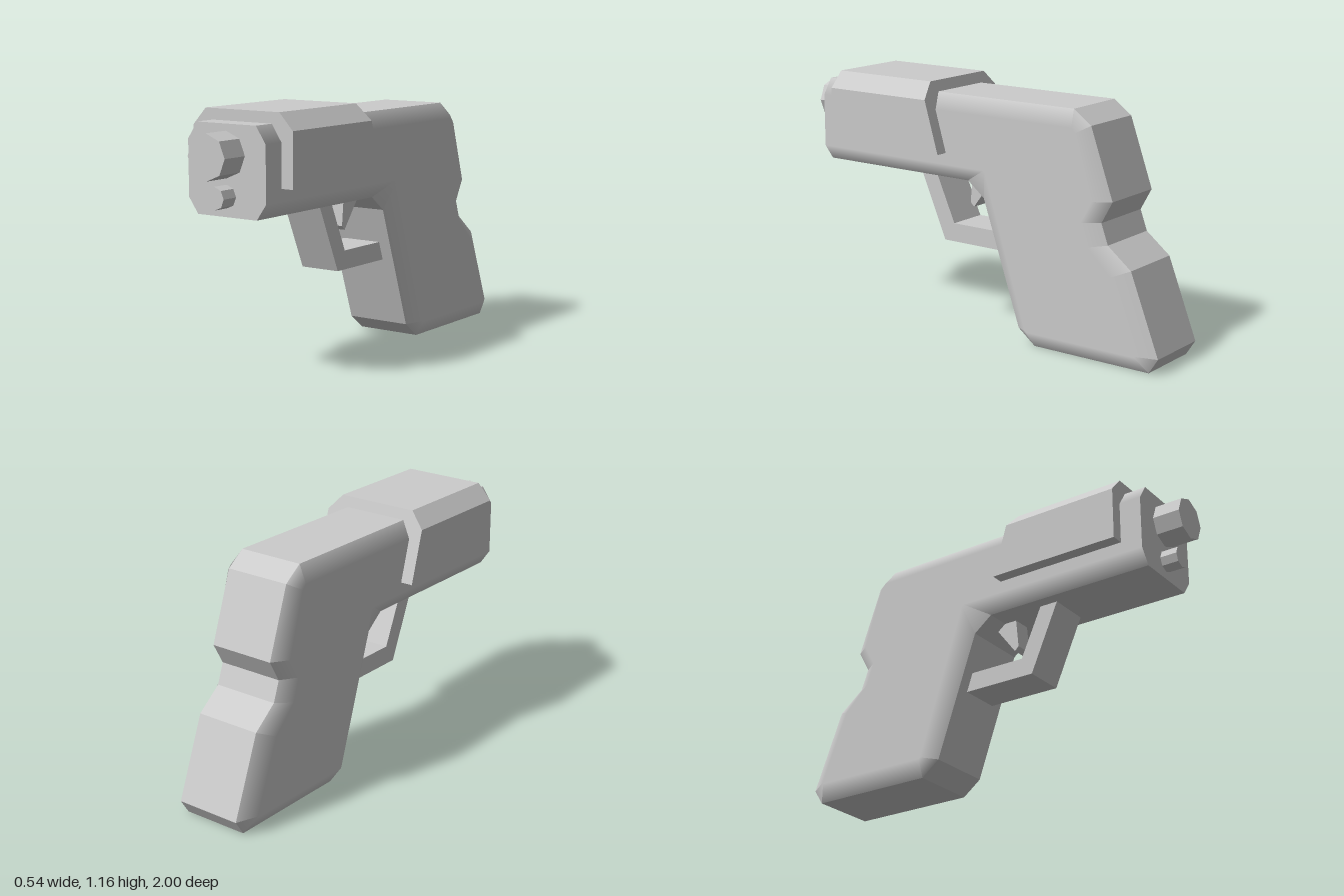
import * as THREE from 'three';

const material = new THREE.MeshStandardMaterial({ color: 0xcccccc, flatShading: true });
const smoothMaterial = new THREE.MeshStandardMaterial({ color: 0xcccccc });

function add(group, name, geometry, mat = material) {
  const mesh = new THREE.Mesh(geometry, mat);
  mesh.name = name;
  group.add(mesh);
  return mesh;
}

const toShape = (points) => new THREE.Shape(points.map(([a, b]) => new THREE.Vector2(a, b)));

// Side profile of [z, y] points, extruded symmetrically across x
function sidePlate(points, width) {
  return new THREE.ExtrudeGeometry(toShape(points), { depth: width, bevelEnabled: false })
    .translate(0, 0, -width / 2)
    .rotateY(-Math.PI / 2);
}

// Body skin: full outline in the middle, inset outline on both flanks, softly shaded bevel between
function bevelledBody(outer, inner, outerX, innerX) {
  const position = [], normal = [];
  const push = (v, n) => { position.push(v.x, v.y, v.z); normal.push(n.x, n.y, n.z); };
  const ring = (points, x) => points.map(([z, y]) => new THREE.Vector3(x, y, z));
  const rings = [ring(inner, -innerX), ring(outer, -outerX), ring(outer, outerX), ring(inner, innerX)];
  const count = outer.length;

  for (let r = 0; r < 3; r++) {
    for (let i = 0; i < count; i++) {
      const j = (i + 1) % count;
      const quad = [rings[r][i], rings[r + 1][i], rings[r + 1][j], rings[r][j]];
      const flat = quad[2].clone().sub(quad[0]).cross(quad[3].clone().sub(quad[1])).normalize();
      const muzzle = j === 0;
      const normals = quad.map((v) => (!muzzle && Math.abs(v.x) === innerX
        ? new THREE.Vector3(Math.sign(v.x), 0, 0) : flat));
      for (const k of [0, 1, 2, 0, 2, 3]) push(quad[k], normals[k]);
    }
  }
  // Flat flanks
  const faces = THREE.ShapeUtils.triangulateShape(inner.map(([z, y]) => new THREE.Vector2(z, y)), []);
  const left = new THREE.Vector3(1, 0, 0), right = new THREE.Vector3(-1, 0, 0);
  for (const [a, b, c] of faces) {
    for (const k of [a, b, c]) push(rings[0][k], right);
    for (const k of [a, c, b]) push(rings[3][k], left);
  }
  const geometry = new THREE.BufferGeometry();
  geometry.setAttribute('position', new THREE.Float32BufferAttribute(position, 3));
  geometry.setAttribute('normal', new THREE.Float32BufferAttribute(normal, 3));
  return geometry;
}

// Eight-sided rod pointing forward, one corner up
function rod(radius, y, z0, z1) {
  return new THREE.CylinderGeometry(radius, radius, z1 - z0, 8)
    .rotateX(Math.PI / 2)
    .translate(0, y, (z0 + z1) / 2);
}

export function createModel() {
  const group = new THREE.Group();
  group.name = 'pistol';

  // Frame and grip in one piece
  const outer = [
    [0.87, 1.115], [-0.55, 1.115], [-0.64, 1.05], [-0.755, 0.73], [-0.7, 0.63],
    [-0.735, 0.535], [-0.855, 0.44], [-1, 0.07], [-0.955, 0], [-0.35, 0],
    [-0.26, 0.07], [-0.06, 0.65], [0.03, 0.72], [0.87, 0.72],
  ];
  const inner = [
    [0.87, 1.04], [-0.57, 1.04], [-0.59, 1.02], [-0.68, 0.73], [-0.625, 0.63],
    [-0.66, 0.525], [-0.78, 0.41], [-0.912, 0.08], [-0.908, 0.075], [-0.335, 0.075],
    [-0.33, 0.08], [-0.102, 0.785], [-0.095, 0.79], [0.87, 0.79],
  ];
  add(group, 'frameAndGrip', bevelledBody(outer, inner, 0.16, 0.21), smoothMaterial);

  // Slide cover with chamfered shoulders and a raked rear face
  const cover = new THREE.ExtrudeGeometry(toShape([
    [-0.27, 0.845], [0.27, 0.845], [0.27, 1.09], [0.2, 1.165], [-0.2, 1.165], [-0.27, 1.09],
  ]), { depth: 0.765, bevelEnabled: false });
  const p = cover.attributes.position;
  for (let i = 0; i < p.count; i++) {
    if (p.getZ(i) < 0.1) p.setZ(i, 0.12 + (p.getY(i) - 0.845) * 0.297);
  }
  cover.computeVertexNormals();
  add(group, 'slideCover', cover);

  // Barrel and the guide rod below it
  add(group, 'barrel', rod(0.1, 0.985, 0.8, 1));
  add(group, 'guideRod', rod(0.05, 0.808, 0.8, 0.95));

  // Trigger guard, running into the frame and grip
  add(group, 'triggerGuard', sidePlate([
    [0.36, 0.73], [0.355, 0.72], [0.215, 0.397], [-0.16, 0.397], [-0.16, 0.485],
    [0.16, 0.485], [0.265, 0.72], [0.27, 0.73],
  ].reverse(), 0.2));

  // Trigger
  add(group, 'trigger', sidePlate([
    [0.09, 0.74], [0.105, 0.585], [0.085, 0.565], [-0.01, 0.69], [-0.01, 0.74],
  ].reverse(), 0.09));

  return group;
}
